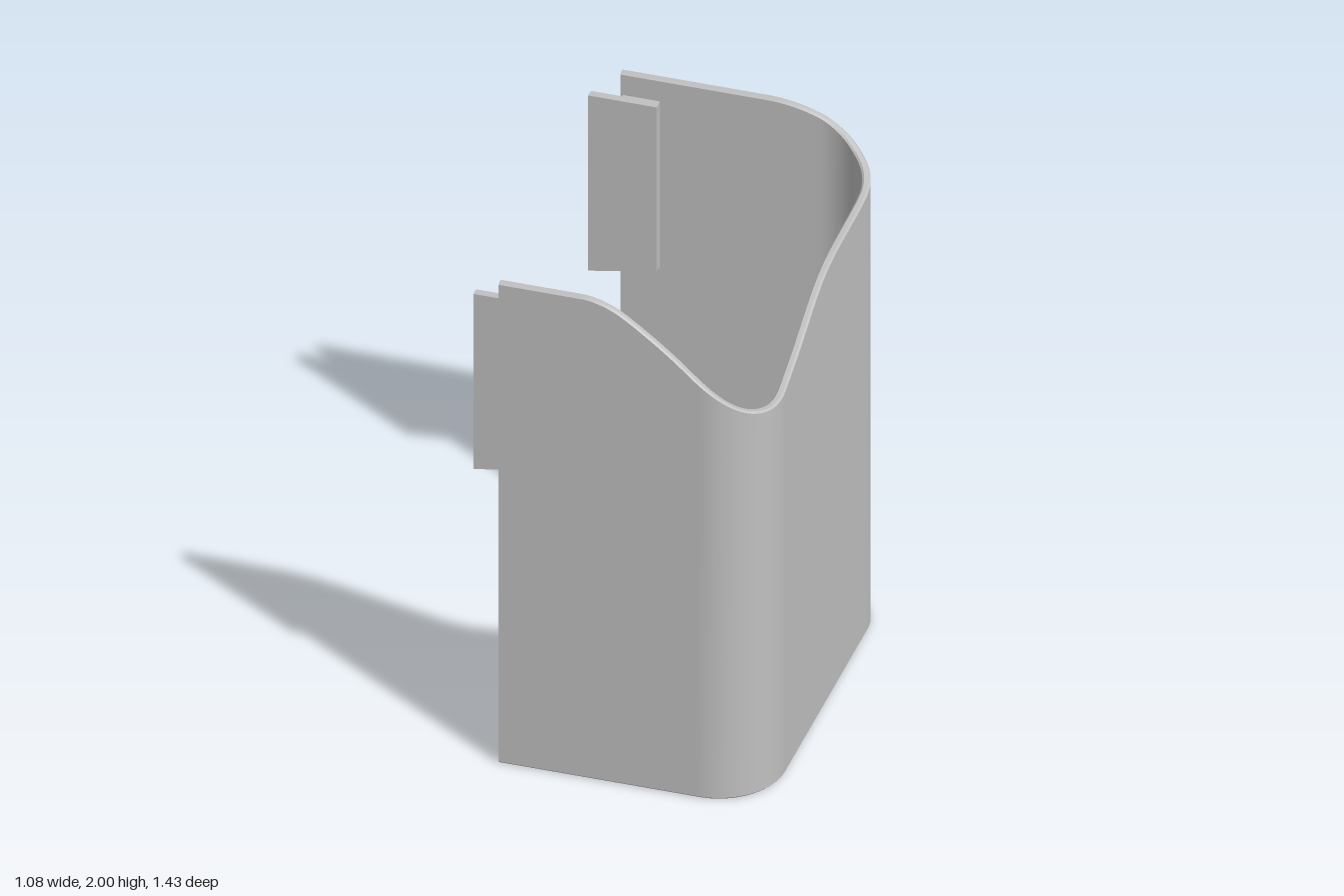
import * as THREE from 'three';
import { toCreasedNormals } from 'three/addons/utils/BufferGeometryUtils.js';

const END_X = -0.435, SIDE_X = 0.535, HALF_Z = 0.715, R = 0.24, WALL = 0.03;
const FLAT = SIDE_X - R - END_X, ARC = R * Math.PI / 2, SIDE = 2 * (HALF_Z - R);
const TOTAL = 2 * FLAT + 2 * ARC + SIDE;

// Height of the wavy rim: [distance along the wall from the front end, height]
const RIM = [
  [0, 2], [0.305, 2], [0.365, 1.99], [0.435, 1.96], [0.535, 1.89], [0.635, 1.81], [0.73, 1.725],
  [0.839, 1.64], [0.918, 1.598], [1.01, 1.578], [1.107, 1.592], [1.182, 1.62], [1.282, 1.662],
  [1.382, 1.711], [1.482, 1.758], [1.582, 1.79], [1.682, 1.805], [1.832, 1.81], [1.982, 1.813],
  [2.057, 1.822], [2.245, 1.872], [2.325, 1.91], [2.434, 1.962], [2.529, 1.99], [2.629, 2], [TOTAL, 2],
];

// Cubic interpolation of the rim height
function rimHeight(s) {
  let i = 0;
  while (i < RIM.length - 2 && s > RIM[i + 1][0]) i++;
  const slope = (k) => {
    if (k < 2 || k > RIM.length - 3) return 0;
    return (RIM[k + 1][1] - RIM[k - 1][1]) / (RIM[k + 1][0] - RIM[k - 1][0]);
  };
  const [s0, h0] = RIM[i], [s1, h1] = RIM[i + 1];
  const d = s1 - s0, t = (s - s0) / d, u = 1 - t;
  return h0 * (1 + 2 * t) * u * u + h1 * t * t * (3 - 2 * t) + d * t * u * (slope(i) * u - slope(i + 1) * t);
}

// Point and outward direction on the outer U-shaped line
function wallPoint(s) {
  const cx = SIDE_X - R, cz = HALF_Z - R;
  if (s <= FLAT) return { x: END_X + s, z: HALF_Z, nx: 0, nz: 1 };
  s -= FLAT;
  if (s <= ARC) {
    const a = s / R;
    return { x: cx + R * Math.sin(a), z: cz + R * Math.cos(a), nx: Math.sin(a), nz: Math.cos(a) };
  }
  s -= ARC;
  if (s <= SIDE) return { x: SIDE_X, z: cz - s, nx: 1, nz: 0 };
  s -= SIDE;
  if (s <= ARC) {
    const a = Math.PI / 2 + s / R;
    return { x: cx + R * Math.sin(a), z: -cz + R * Math.cos(a), nx: Math.sin(a), nz: Math.cos(a) };
  }
  return { x: cx - (s - ARC), z: -HALF_Z, nx: 0, nz: -1 };
}

// Wall swept as chamfered cross-sections
function wallGeometry() {
  const pos = [], index = [], c = 0.007, runs = [[FLAT, 28], [ARC, 18], [SIDE, 40], [ARC, 18], [FLAT, 28]];
  const stations = [0];
  let start = 0;
  for (const [len, n] of runs) {
    for (let i = 1; i <= n; i++) stations.push(start + len * i / n);
    start += len;
  }
  for (const s of stations) {
    const p = wallPoint(s), h = rimHeight(s);
    const section = [
      [-c, 0], [0, c], [0, h - c], [-c, h],
      [c - WALL, h], [-WALL, h - c], [-WALL, c], [c - WALL, 0],
    ];
    for (const [n, y] of section) pos.push(p.x + p.nx * n, y, p.z + p.nz * n);
  }
  for (let i = 0; i < stations.length - 1; i++) {
    for (let j = 0; j < 8; j++) {
      const a = i * 8 + j, b = i * 8 + (j + 1) % 8;
      index.push(a, a + 8, b + 8, a, b + 8, b);
    }
  }
  const last = (stations.length - 1) * 8;
  for (let j = 1; j < 7; j++) index.push(0, j, j + 1, last, last + j + 1, last + j);
  const g = new THREE.BufferGeometry();
  g.setAttribute('position', new THREE.Float32BufferAttribute(pos, 3));
  g.setIndex(index);
  return toCreasedNormals(g, 0.5);
}

// Flat plate from an outline in x and y, with its thickness along z
function plate(points, zMin, zMax) {
  const shape = new THREE.Shape(points.map(([x, y]) => new THREE.Vector2(x, y)));
  const g = new THREE.ExtrudeGeometry(shape, { depth: zMax - zMin, bevelEnabled: false });
  return g.translate(0, 0, zMin);
}

export function createModel() {
  const model = new THREE.Group();
  const grey = new THREE.MeshStandardMaterial({ color: 0xc0c0c0 });
  grey.name = 'plain grey';
  const add = (geometry, name) => {
    const mesh = new THREE.Mesh(geometry, grey);
    mesh.name = name;
    model.add(mesh);
  };

  add(wallGeometry(), 'wrapAroundWall');

  // Tabs on the inner face of both free ends, each on a thin pad
  const tab = [[-0.54, 1.18], [-0.29, 1.225], [-0.29, 1.91], [-0.54, 1.91]];
  const pad = [[-0.425, 1.2], [-0.38, 1.175], [-0.32, 1.18], [-0.29, 1.21], [-0.29, 1.91], [-0.425, 1.91]];
  for (const [side, sign] of [['front', 1], ['back', -1]]) {
    const span = (a, b) => (sign > 0 ? [a, b] : [-b, -a]);
    add(plate(tab, ...span(0.645, 0.676)), side + 'Tab');
    add(plate(pad, ...span(0.676, 0.686)), side + 'TabPad');
  }
  return model;
}
